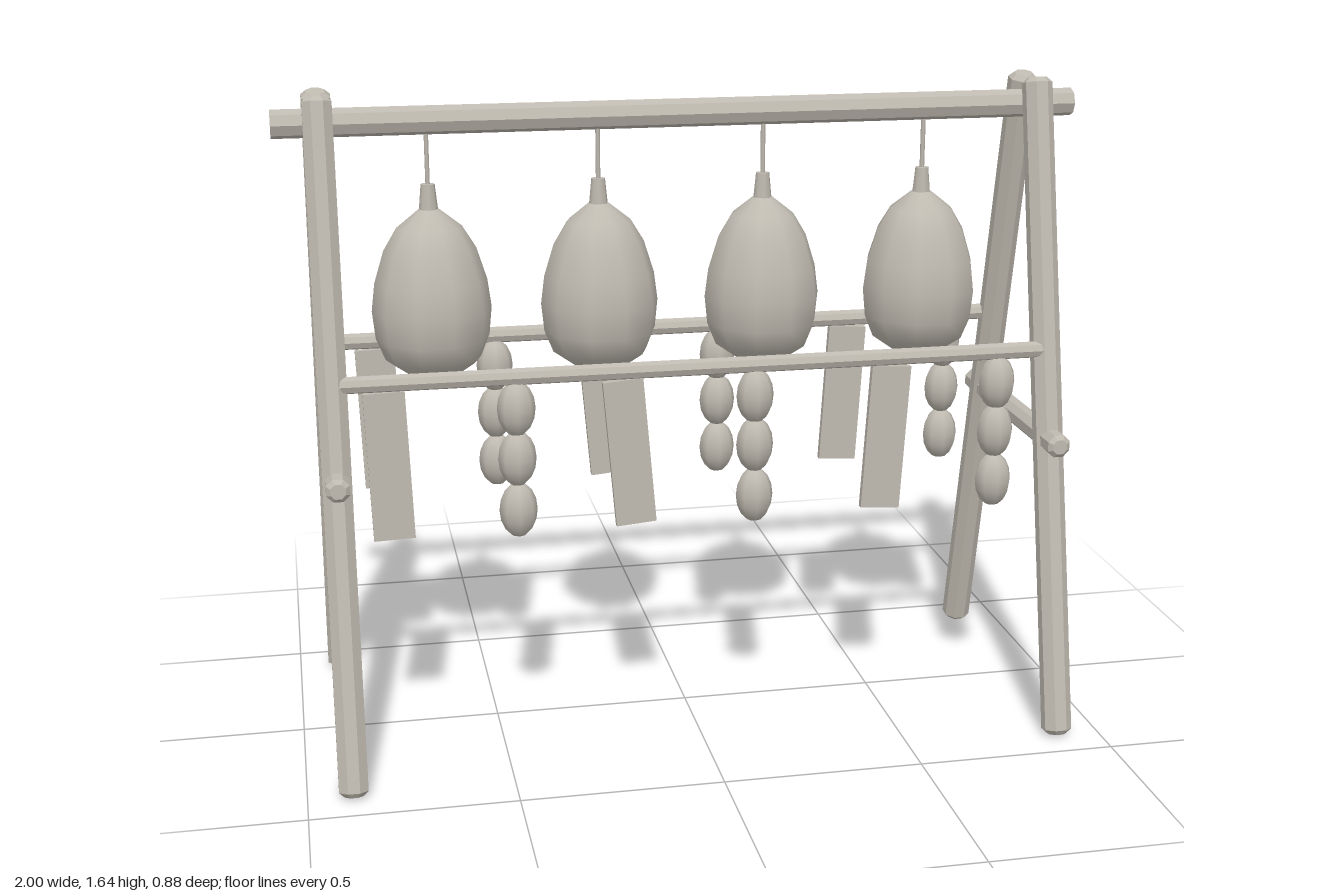
import * as THREE from 'three';

const V = (x, y, z) => new THREE.Vector3(x, y, z);

export function createModel() {
  const root = new THREE.Group();
  const clay = new THREE.MeshStandardMaterial({ color: 0xbfbab0 });
  clay.name = 'warm grey';
  const facet = clay; // extruded bars already carry hard edges

  const add = (name, geometry, parent = root) => {
    const mesh = new THREE.Mesh(geometry, facet);
    mesh.name = name;
    parent.add(mesh);
    return mesh;
  };

  // Square bar with chamfered long edges and bevelled ends, from a to b
  const bar = (name, a, b, w, c) => {
    const h = w / 2 - c, k = h - c;
    const s = new THREE.Shape([
      [h, -k], [h, k], [k, h], [-k, h], [-h, k], [-h, -k], [-k, -h], [k, -h],
    ].map(([x, y]) => new THREE.Vector2(x, y)));
    const len = a.distanceTo(b);
    const g = new THREE.ExtrudeGeometry(s, {
      depth: len - 2 * c, bevelEnabled: true, bevelThickness: c, bevelSize: c, bevelSegments: 1,
    });
    g.translate(0, 0, -len / 2 + c);
    const m = add(name, g);
    m.position.copy(a).add(b).multiplyScalar(0.5);
    m.quaternion.setFromUnitVectors(V(0, 0, 1), b.clone().sub(a).normalize());
    return m;
  };

  // Eight-sided pole along x
  const pole = (name, r, len, y, z) => {
    const g = new THREE.CylinderGeometry(r, r, len, 8).toNonIndexed();
    g.computeVertexNormals();
    g.rotateZ(Math.PI / 2);
    add(name, g).position.set(0, y, z);
  };

  // A-frames with cross braces
  for (const sx of [1, -1]) {
    const side = sx > 0 ? 'left' : 'right';
    const x = sx * 0.89;
    for (const sz of [1, -1]) {
      bar(`${side}${sz > 0 ? 'Front' : 'Back'}Leg`,
        V(x, 0.007, sz * 0.407), V(x, 1.635, sz * 0.048), 0.07, 0.013);
    }
    bar(`${side}Brace`, V(x, 0.75, -0.33), V(x, 0.75, 0.33), 0.056, 0.01);
  }

  // Ridge beam and the two hanging rails
  pole('ridgeBeam', 0.035, 2, 1.565, 0);
  pole('frontRail', 0.021, 1.78, 0.973, 0.207);
  pole('backRail', 0.021, 1.78, 0.973, -0.207);

  // Hanging gourds, each with a neck and a cord
  const profile = [
    [0, 0.945], [0.035, 0.932], [0.065, 0.938], [0.118, 0.975], [0.14, 1.03], [0.147, 1.1],
    [0.138, 1.17], [0.113, 1.25], [0.08, 1.305], [0.026, 1.348], [0, 1.352],
  ].map(([r, y]) => new THREE.Vector2(r, y));
  const gourdGeo = new THREE.LatheGeometry(profile, 10, Math.PI / 2);
  for (const x of [-0.634, -0.217, 0.198, 0.612]) {
    const gourd = new THREE.Group();
    gourd.name = 'hangingGourd';
    gourd.position.x = x;
    root.add(gourd);
    add('gourdBody', gourdGeo, gourd);
    add('gourdNeck', new THREE.CylinderGeometry(0.017, 0.024, 0.07, 8), gourd).position.y = 1.375;
    add('gourdCord', new THREE.CylinderGeometry(0.006, 0.006, 0.15, 6), gourd).position.y = 1.475;
  }

  // Bead strings and slats hung below both rails
  const beadGeo = new THREE.SphereGeometry(1, 8, 8).scale(0.047, 0.07, 0.044);
  const slatGeo = new THREE.BoxGeometry(0.1, 0.37, 0.018);
  const slats = [[-0.764, 0.035], [-0.179, 0.085], [0.472, -0.06]];
  for (const sz of [1, -1]) {
    const z = sz * 0.205;
    for (const x of [-0.459, 0.132, 0.757]) {
      const string = new THREE.Group();
      string.name = 'beadString';
      string.position.set(x + sz * 0.004, 0, z);
      root.add(string);
      [0.893, 0.767, 0.636].forEach((y) => { add('bead', beadGeo, string).position.y = y; });
    }
    for (const [x, tilt] of slats) {
      const slat = add('hangingSlat', slatGeo);
      slat.position.set(x, 0.766, z);
      slat.rotation.z = tilt;
    }
  }

  return root;
}
